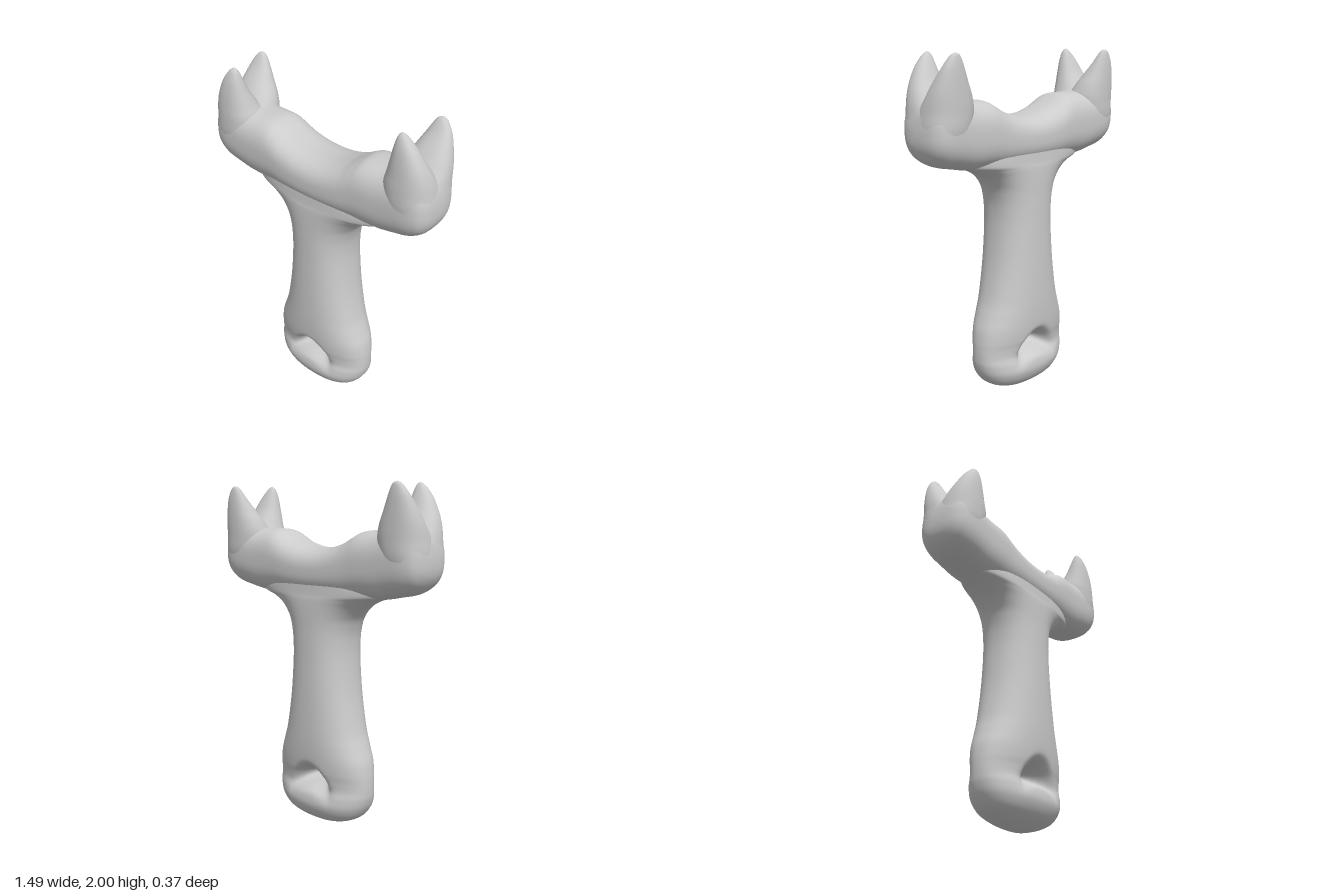
import * as THREE from 'three';

const material = new THREE.MeshStandardMaterial({ color: 0xcccccc, roughness: 0.8 });

// Catmull-Rom through rows of numbers, giving `steps` rows per interval
function smoothRows(rows, steps) {
  const out = [];
  const at = (i) => rows[THREE.MathUtils.clamp(i, 0, rows.length - 1)];
  for (let i = 0; i < rows.length - 1; i++) {
    for (let s = 0; s < steps; s++) {
      const u = s / steps;
      out.push(at(i).map((p1, c) => {
        const p0 = at(i - 1)[c], p2 = at(i + 1)[c], p3 = at(i + 2)[c];
        return p1 + 0.5 * u * (p2 - p0 + u * (2 * p0 - 5 * p1 + 4 * p2 - p3 + u * (3 * (p1 - p2) + p3 - p0)));
      }));
    }
  }
  out.push(rows[rows.length - 1]);
  return out;
}

// Skin of superellipse sections; a row is [t, aMin, aMax, bMin, bMax]
function loft(name, rows, { sides = 64, steps = 6, power = 2.3, place }) {
  const sections = smoothRows(rows, steps);
  const positions = [], index = [];
  const bulge = (v) => Math.sign(v) * Math.abs(v) ** (2 / power);
  sections.forEach(([t, a0, a1, b0, b1], i) => {
    for (let j = 0; j < sides; j++) {
      const angle = (j / sides) * Math.PI * 2;
      const a = (a0 + a1) / 2 + ((a1 - a0) / 2) * bulge(Math.cos(angle));
      const b = (b0 + b1) / 2 + ((b1 - b0) / 2) * bulge(Math.sin(angle));
      positions.push(...place(t, a, b));
      if (i < sections.length - 1) {
        const p = i * sides + j, q = i * sides + ((j + 1) % sides);
        index.push(p, p + sides, q, q, p + sides, q + sides);
      }
    }
  });
  const geometry = new THREE.BufferGeometry();
  geometry.setAttribute('position', new THREE.Float32BufferAttribute(positions, 3));
  geometry.setIndex(index);
  geometry.computeVertexNormals();
  const mesh = new THREE.Mesh(geometry, material);
  mesh.name = name;
  return mesh;
}

const alongY = (t, a, b) => [a, t, b];
const alongX = (t, a, b) => [t, b, a];

// Pinches the foot from front and back into an arched cord hole
function pinchedAlongY(y, x, z) {
  const arch = 0.305 - 0.05 * Math.min(1.5, (x / 0.12) ** 2);
  const d = Math.hypot(x / 0.105, (y - arch) / 0.055);
  return [x, y, z * (1 - 0.97 * Math.exp(-(d ** 2.4)))];
}

// Handle: [height, half width, half depth], flaring into the crossbar
const HANDLE = [
  [0, 0, 0], [0.012, 0.09, 0.05], [0.04, 0.19, 0.105], [0.08, 0.265, 0.15], [0.14, 0.31, 0.176],
  [0.2, 0.33, 0.172], [0.25, 0.334, 0.158], [0.3, 0.333, 0.16], [0.35, 0.329, 0.17], [0.42, 0.316, 0.178],
  [0.5, 0.286, 0.183], [0.6, 0.252, 0.185], [0.8, 0.213, 0.184], [1, 0.194, 0.181], [1.12, 0.196, 0.18],
  [1.2, 0.212, 0.179], [1.26, 0.24, 0.179], [1.32, 0.3, 0.178], [1.36, 0.38, 0.176], [1.39, 0.47, 0.172],
  [1.45, 0.48, 0.168], [1.52, 0.36, 0.165], [1.56, 0.25, 0.12],
];

// Half crossbar from middle to tip: [x, half depth, bottom, top]
const CROSSBAR = [
  [0, 0.182, 1.375, 1.645], [0.1, 0.181, 1.375, 1.654], [0.2, 0.178, 1.375, 1.683], [0.27, 0.175, 1.375, 1.72],
  [0.33, 0.174, 1.375, 1.745], [0.45, 0.173, 1.378, 1.75], [0.55, 0.173, 1.396, 1.765], [0.62, 0.171, 1.41, 1.78],
  [0.67, 0.162, 1.432, 1.775], [0.705, 0.144, 1.46, 1.745], [0.73, 0.108, 1.5, 1.69], [0.741, 0.06, 1.54, 1.63],
  [0.744, 0, 1.58, 1.58],
];

// Prongs on the left arm: [y, xMin, xMax, zMin, zMax]
const PRONGS = {
  front: [
    [1.48, 0.54, 0.7, -0.06, 0.14], [1.6, 0.47, 0.736, -0.09, 0.171], [1.7, 0.455, 0.729, -0.07, 0.175],
    [1.78, 0.48, 0.711, -0.02, 0.171], [1.85, 0.503, 0.683, 0.025, 0.165], [1.92, 0.522, 0.645, 0.06, 0.154],
    [1.97, 0.538, 0.606, 0.085, 0.138], [1.992, 0.551, 0.582, 0.1, 0.123], [2, 0.564, 0.564, 0.111, 0.111],
  ],
  back: [
    [1.48, 0.54, 0.7, -0.14, 0.06], [1.6, 0.47, 0.738, -0.173, 0.09], [1.7, 0.45, 0.733, -0.179, 0.07],
    [1.78, 0.472, 0.722, -0.18, 0.015], [1.85, 0.51, 0.704, -0.179, -0.035], [1.92, 0.547, 0.679, -0.176, -0.088],
    [1.97, 0.574, 0.65, -0.17, -0.12], [1.99, 0.59, 0.63, -0.163, -0.135], [1.997, 0.611, 0.611, -0.149, -0.149],
  ],
};

export function createModel() {
  const model = new THREE.Group();
  model.name = 'forkedHandle';

  const handleRows = HANDLE.map(([y, w, d]) => [y, -w, w, -d, d]);
  model.add(loft('handle', handleRows, { sides: 112, steps: 8, place: pinchedAlongY }));

  const half = CROSSBAR.map(([x, d, y0, y1]) => [x, -d, d, y0, y1]);
  const otherHalf = half.slice(1).reverse().map(([x, ...section]) => [-x, ...section]);
  model.add(loft('crossbar', [...otherHalf, ...half], { sides: 80, power: 2.6, place: alongX }));

  for (const [end, rows] of Object.entries(PRONGS)) {
    const mirrored = rows.map(([y, x0, x1, z0, z1]) => [y, -x1, -x0, z0, z1]);
    model.add(loft(`${end}LeftProng`, rows, { place: alongY }));
    model.add(loft(`${end}RightProng`, mirrored, { place: alongY }));
  }
  return model;
}
